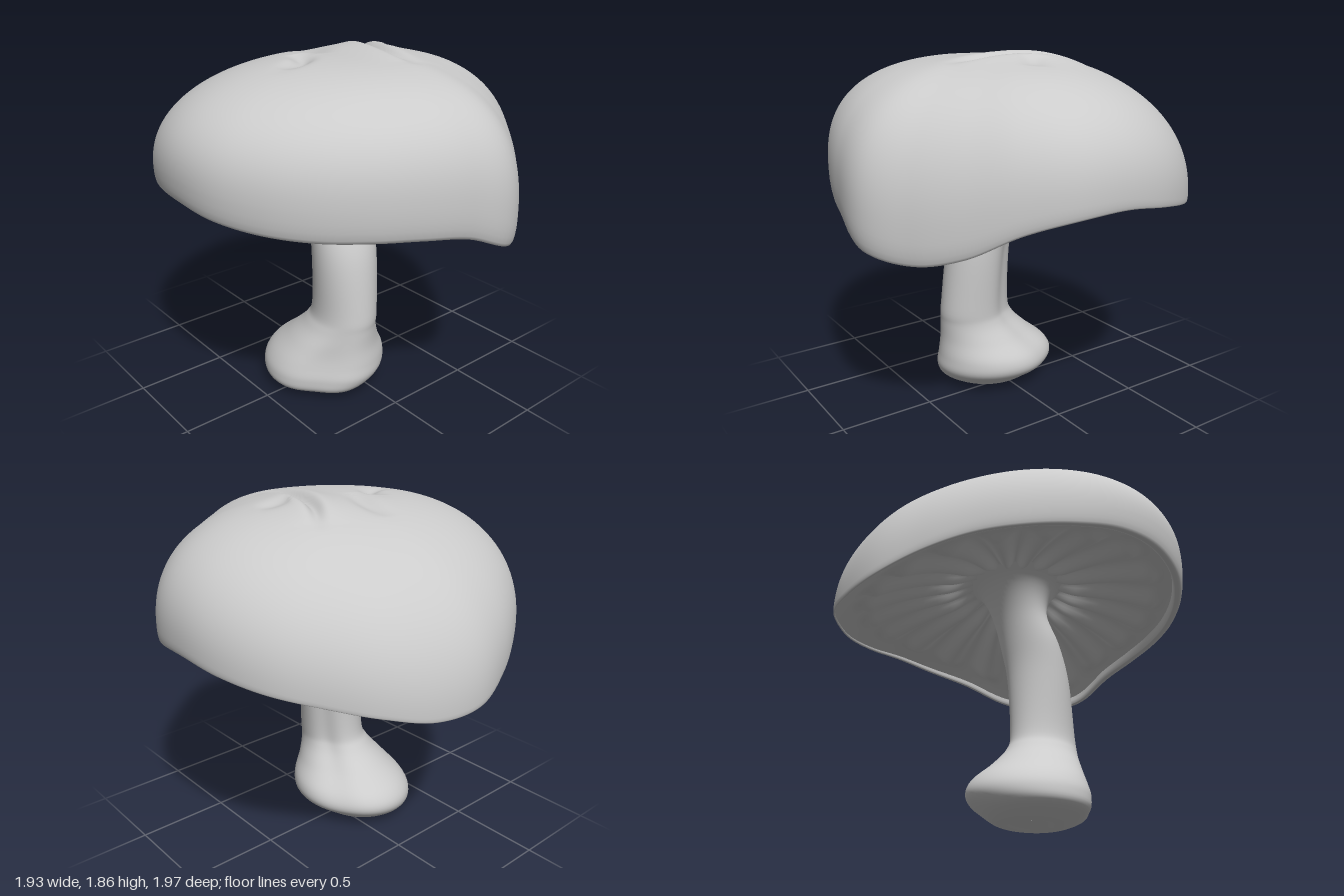
import * as THREE from 'three';

const TAU = Math.PI * 2;
const material = new THREE.MeshStandardMaterial({ color: 0xcccccc, side: THREE.DoubleSide });

// Closed-ring surface: point(t, angle) returns [x, y, z], t runs 0..1 across the rings
function loft(name, rows, segs, point) {
  const pos = [], index = [];
  for (let i = 0; i <= rows; i++)
    for (let j = 0; j < segs; j++) pos.push(...point(i / rows, (j / segs) * TAU));
  for (let i = 0; i < rows; i++)
    for (let j = 0; j < segs; j++) {
      const k = (j + 1) % segs;
      const a = i * segs + j, b = a + segs, c = i * segs + k, d = c + segs;
      index.push(a, c, b, c, d, b);
    }
  const geo = new THREE.BufferGeometry();
  geo.setAttribute('position', new THREE.Float32BufferAttribute(pos, 3));
  geo.setIndex(index);
  geo.computeVertexNormals();
  const mesh = new THREE.Mesh(geo, material);
  mesh.name = name;
  return mesh;
}

// Rim outline: radius and lowest height every 15 degrees, from +x towards +z
const rimCurve = new THREE.CatmullRomCurve3([
  [0.96, 1.22], [0.96, 1.2], [0.94, 1.14], [0.93, 1.03], [0.955, 0.98], [1.005, 1.02],
  [0.955, 1.12], [0.925, 1.155], [0.92, 1.17], [0.93, 1.18], [0.95, 1.2], [0.968, 1.23],
  [0.965, 1.26], [0.955, 1.25], [0.945, 1.21], [0.93, 1.18], [0.925, 1.15], [0.95, 1.09],
  [0.99, 1.02], [0.99, 1.01], [0.977, 1.06], [0.96, 1.11], [0.963, 1.15], [0.963, 1.19],
].map(([r, h]) => new THREE.Vector3(r, h, 0)), true, 'catmullrom', 0.5);

function rim(a) {
  const p = rimCurve.getPoint(a / TAU);
  const lip = 0.08 + 0.05 * Math.sin(a) - 0.03 * Math.cos(a);
  return { r: p.x, base: p.y + lip, lip, inner: 1 - 0.5 * lip, floor: p.y + 0.35 * lip };
}

// Folds pressed into the crown: path in x/z, depth, width, raised shoulder
const folds = [
  { path: [[0.35, -0.27], [0.25, -0.1], [0.18, 0.14], [0.14, 0.4]], depth: 0.05, width: 0.035, swell: 0.035 },
  { path: [[-0.2, -0.1], [-0.25, 0.04], [-0.42, 0.12]], depth: 0.035, width: 0.05, swell: 0 },
  { path: [[0, -0.36], [-0.02, -0.18], [-0.1, 0.02]], depth: 0.025, width: 0.06, swell: 0 },
  { path: [[0.28, 0.04], [0.42, 0.12]], depth: 0.02, width: 0.06, swell: 0 },
].map((f) => ({
  ...f,
  dots: new THREE.CatmullRomCurve3(f.path.map(([x, z]) => new THREE.Vector3(x, 0, z))).getPoints(120),
}));

function foldOffset(x, z) {
  let y = 0;
  for (const f of folds) {
    let near = Infinity, at = 0;
    f.dots.forEach((p, i) => {
      const d = Math.hypot(p.x - x, p.z - z);
      if (d < near) { near = d; at = i / 120; }
    });
    const fade = 0.1 + 0.9 * Math.sin(Math.PI * at);
    y += fade * (f.swell * Math.exp(-((near / 0.13) ** 2)) - f.depth * Math.exp(-((near / f.width) ** 2)));
  }
  return y;
}

// Domed crown followed by the rolled lip
function capPoint(t, a) {
  const { r, base, lip, inner, floor } = rim(a);
  const split = 0.9;
  let s, y;
  if (t <= split) {
    s = Math.max(0.0005, Math.sin((t / split) * Math.PI / 2));
    const p = 2.5 + 0.55 * Math.sin(a), e = 0.43 - 0.04 * Math.sin(a);
    y = base + (1.845 - base) * Math.max(0, 1 - s ** p) ** e;
  } else {
    const u = (t - split) / (1 - split), phi = u * Math.PI;
    s = 1 - (1 - inner) * (1 - Math.cos(phi)) / 2;
    y = base - lip * Math.sin(phi) + (floor - base) * u * u;
    y = Math.max(y, base - lip);
  }
  const x = s * r * Math.cos(a), z = s * r * Math.sin(a);
  if (s < 0.8) y += foldOffset(x, z);
  return [x, y, z];
}

// Hollow underside with rounded radial ridges
function gillPoint(t, a) {
  const { r, inner, floor } = rim(a);
  const s = inner * (1 - t) + 0.02 * t;
  const ridge = 0.5 + 0.5 * Math.cos(20 * a);
  const { smoothstep } = THREE.MathUtils;
  const reach = (1 - smoothstep(s, 0.8, 0.9)) * smoothstep(s, 0.15, 0.4);
  const y = 1.4 - (1.4 - floor) * (s / inner) ** 2.2 - 0.065 * ridge * reach;
  return [s * r * Math.cos(a), y, s * r * Math.sin(a)];
}

// Stem sections from top to bottom: y, min x, max x, min z, max z
const sections = [
  [1.42, -0.34, 0.28, -0.3, 0.31], [1.32, -0.24, 0.18, -0.19, 0.21], [1.18, -0.2, 0.13, -0.11, 0.16],
  [1.0, -0.23, 0.125, -0.06, 0.24], [0.8, -0.24, 0.11, -0.035, 0.31], [0.5, -0.24, 0.085, -0.04, 0.35],
  [0.4, -0.27, 0.09, -0.08, 0.35], [0.3, -0.34, 0.14, -0.18, 0.35], [0.2, -0.41, 0.205, -0.3, 0.36],
  [0.12, -0.44, 0.2, -0.335, 0.36], [0.05, -0.42, 0.11, -0.29, 0.31], [0.005, -0.28, 0.04, -0.18, 0.2],
  [0.015, -0.2, -0.04, -0.08, 0.1], [0.025, -0.13, -0.128, 0, 0.002],
];
const spline = (points) => new THREE.CatmullRomCurve3(points, false, 'catmullrom');
const stemCentre = spline(sections.map(([y, x0, x1, z0, z1]) => new THREE.Vector3((x0 + x1) / 2, y, (z0 + z1) / 2)));
const stemRadius = spline(sections.map(([, x0, x1, z0, z1]) => new THREE.Vector3((x1 - x0) / 2, 0, (z1 - z0) / 2)));

// Bell-shaped falloff around one direction
function bump(a, centre, width) {
  const turn = Math.atan2(Math.sin(a - centre), Math.cos(a - centre));
  return Math.exp(-((turn / width) ** 2));
}

function stemPoint(t, a) {
  const c = stemCentre.getPoint(t), r = stemRadius.getPoint(t);
  // Shallow flute down the back corner, flattened corner on the bulb
  const flute = 0.12 * bump(a, -0.6, 0.35) * Math.sin(Math.PI * Math.min(1, t * 1.3));
  const flat = 0.13 * bump(a, Math.PI * 0.75, 0.5) * THREE.MathUtils.smoothstep(t, 0.4, 0.6);
  const k = 1 - flute - flat;
  return [c.x + k * r.x * Math.cos(a), Math.max(0, c.y), c.z + k * r.z * Math.sin(a)];
}

export function createModel() {
  const group = new THREE.Group();
  group.name = 'mushroom';
  group.add(
    loft('cap', 100, 192, capPoint),
    loft('gills', 48, 240, gillPoint),
    loft('stem', 78, 64, stemPoint),
  );
  return group;
}
